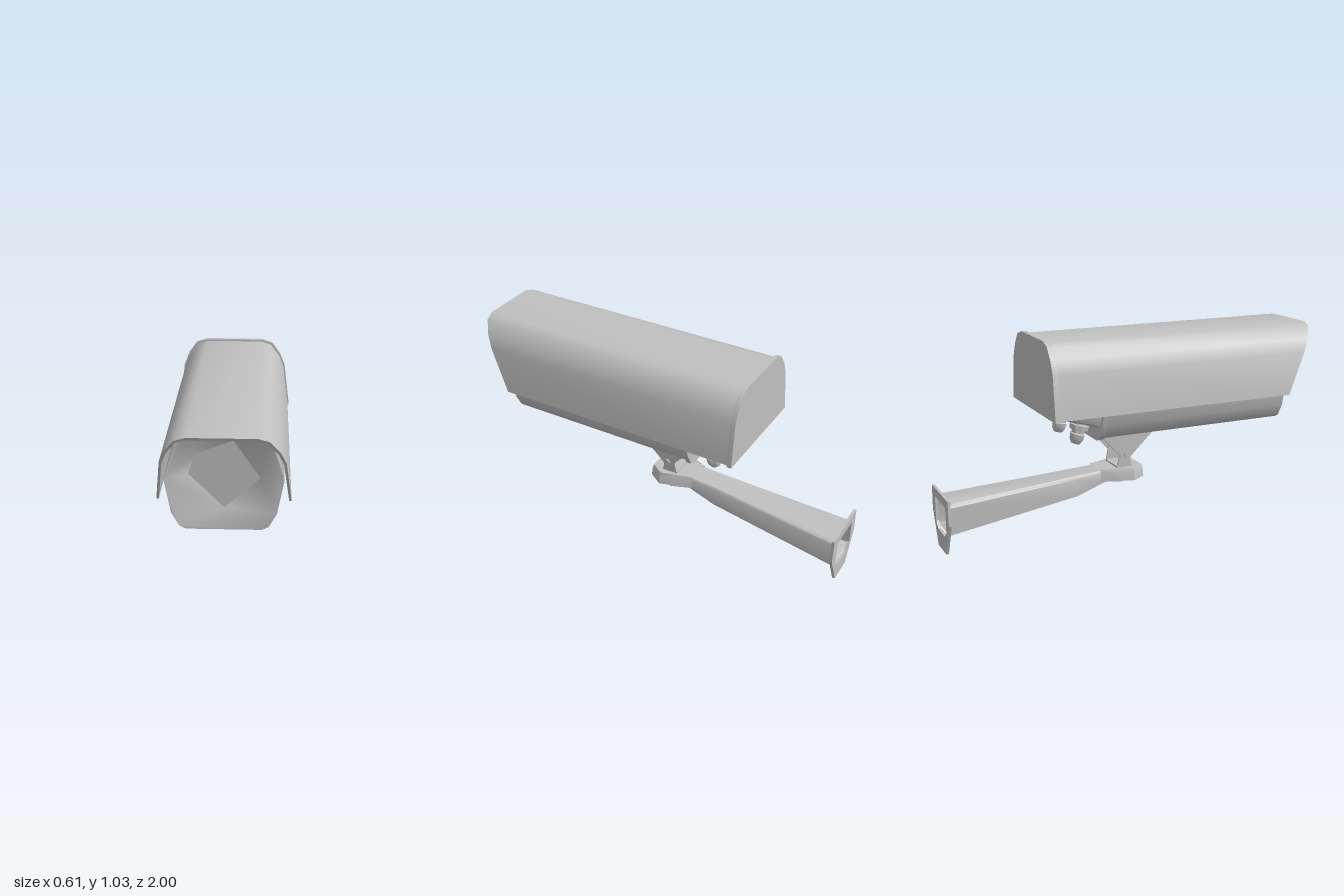
import * as THREE from 'three';
import { toCreasedNormals } from 'three/addons/utils/BufferGeometryUtils.js';

const grey = new THREE.MeshStandardMaterial({ color: 0xc0c0c0, side: THREE.DoubleSide });
grey.name = 'painted grey';

const vec = (pts) => pts.map(([x, y]) => new THREE.Vector2(x, y));

// Mirrors a right-hand half outline (bottom to top) into a closed anticlockwise outline.
const mirror = (half) => [...half, ...half.slice().reverse().map(([x, ...r]) => [-x, ...r])];

// Skins closed sections of [x, y, z] points, ordered by rising z.
function loft(sections, { back = true, front = true, crease = 0.8 } = {}) {
  const n = sections[0].length;
  const last = (sections.length - 1) * n;
  const index = [];
  for (let i = 0; i < last; i += n) {
    for (let j = 0; j < n; j++) {
      const a = i + j, b = i + (j + 1) % n;
      index.push(a, b, b + n, a, b + n, a + n);
    }
  }
  const cap = (s) => THREE.ShapeUtils.triangulateShape(vec(s), []);
  if (back) for (const [a, b, c] of cap(sections[0])) index.push(a, c, b);
  if (front) for (const t of cap(sections.at(-1))) index.push(...t.map((k) => k + last));
  const geo = new THREE.BufferGeometry();
  geo.setAttribute('position', new THREE.Float32BufferAttribute(sections.flat(2), 3));
  geo.setIndex(index);
  return toCreasedNormals(geo, crease);
}

const at = (outline, z) => outline.map(([x, y]) => [x, y, z]);

// Thin plate standing across x, outlined by [z, y] points.
function sidePlate(points, thickness) {
  const geo = new THREE.ExtrudeGeometry(new THREE.Shape(vec(points)), { depth: thickness, bevelEnabled: false });
  return geo.translate(0, 0, -thickness / 2).rotateY(-Math.PI / 2);
}

export function createModel() {
  const model = new THREE.Group();
  const add = (name, geo, parent = model) => {
    const mesh = new THREE.Mesh(geo, grey);
    mesh.name = name;
    parent.add(mesh);
    return mesh;
  };

  // Sun hood: thin arch, open below, its front edge raked back
  const outer = mirror([[0.298, 0.665], [0.27, 0.885], [0.245, 0.945], [0.2, 1.005], [0.15, 1.023]]);
  const inner = mirror([[0.287, 0.665], [0.259, 0.88], [0.235, 0.937], [0.194, 0.994], [0.148, 1.011]]);
  const arch = [...outer, ...inner.reverse()];
  const rake = (y) => Math.max(0.82, 1 - (1.023 - y) * 0.545);
  add('sunHood', loft([at(arch, -0.49), arch.map(([x, y]) => [x, y, rake(y)])]));

  // Rear cap of the hood
  const capOutline = mirror([[0.305, 0.66], [0.277, 0.89], [0.25, 0.955], [0.208, 1.014], [0.152, 1.032]]);
  add('rearCap', loft([at(capOutline, -0.505), at(capOutline, -0.48)]));

  // Camera housing
  const body = mirror([[0.17, 0.52], [0.2, 0.535], [0.235, 0.6], [0.265, 0.76], [0.2, 0.97], [0.15, 0.995]]);
  add('housing', loft([at(body, -0.22), at(body, 0.82)], { front: false }));

  // Front face, sunk from the rim towards the five-sided window
  const pane = [[0, 0.605], [0.16, 0.75], [0.04, 0.925], [-0.13, 0.86], [-0.16, 0.765]];
  const faceShape = new THREE.Shape(vec(body));
  faceShape.holes.push(new THREE.Path(vec(pane)));
  const face = new THREE.ShapeGeometry(faceShape);
  const p = face.attributes.position;
  for (let i = 0; i < p.count; i++) {
    const onPane = pane.some(([x, y]) => Math.hypot(p.getX(i) - x, p.getY(i) - y) < 0.001);
    p.setZ(i, onPane ? 0.77 : 0.82);
  }
  face.computeVertexNormals();
  add('frontFace', face);
  add('window', new THREE.ShapeGeometry(new THREE.Shape(vec(pane))).translate(0, 0, 0.77));

  // Rear flange and the sloping underside behind it
  const flange = mirror([[0.165, 0.51], [0.205, 0.525], [0.242, 0.6], [0.262, 0.7]]);
  add('rearFlange', loft([at(flange, -0.235), at(flange, -0.21)]));
  const tail = (b) => mirror([[0.14, b], [0.21, b + 0.02], [0.235, b + 0.08], [0.235, 0.8]]);
  add('rearUnderside', loft([at(tail(0.65), -0.485), at(tail(0.572), -0.23)]));

  // Cable glands
  const glandProfile = vec([[0, -0.105], [0.022, -0.105], [0.036, -0.085], [0.04, -0.055], [0.034, -0.05],
    [0.034, -0.035], [0.05, -0.032], [0.052, -0.008], [0.04, -0.004], [0.04, 0.03]]);
  for (const x of [-0.12, 0.12]) {
    const gland = add('cableGland', toCreasedNormals(new THREE.LatheGeometry(glandProfile, 8), 0.6));
    gland.position.set(x, 0.598, -0.305);
    gland.rotation.x = 0.25;
  }

  // Tilt bracket: upper and lower yokes joined by pivot bolts
  const bracket = new THREE.Group();
  bracket.name = 'tiltBracket';
  model.add(bracket);
  add('upperYokePlate', new THREE.BoxGeometry(0.18, 0.014, 0.31).translate(0, 0.513, -0.027), bracket);
  add('lowerYokePlate', new THREE.BoxGeometry(0.145, 0.01, 0.085).translate(0, 0.322, -0.037), bracket);
  const upperCheek = [[0.13, 0.515], [0.125, 0.503], [0.01, 0.395], [-0.01, 0.375], [-0.055, 0.375],
    [-0.075, 0.395], [-0.175, 0.503], [-0.18, 0.515]];
  const lowerCheek = [[0.0, 0.32], [-0.005, 0.41], [-0.02, 0.437], [-0.045, 0.437], [-0.06, 0.41], [-0.078, 0.32]];
  for (const s of [-1, 1]) {
    add('upperYokeCheek', sidePlate(upperCheek, 0.01).translate(s * 0.083, 0, 0), bracket);
    add('lowerYokeCheek', sidePlate(lowerCheek, 0.008).translate(s * 0.071, 0, 0), bracket);
    const bolt = new THREE.CylinderGeometry(0.015, 0.015, 0.038, 6).rotateZ(Math.PI / 2);
    add('pivotBolt', toCreasedNormals(bolt, 0.6).translate(s * 0.078, 0.39, -0.032), bracket);
  }

  // Arm head: flared pad under the bracket
  const pad = (k, y) => mirror([[0.07, 0.17], [0.11, 0.06]].map(([x, d]) => [x * k, d]))
    .concat([[-0.12, 0.0], [-0.07, -0.073], [0.07, -0.073], [0.12, 0.0]].map(([x, d]) => [x * k, d * k]))
    .map(([x, d]) => [x, d, y]);
  const head = [pad(1.02, 0.255), pad(0.97, 0.3), pad(0.9, 0.318)].map((s) => s.slice().reverse());
  // Outline is made anticlockwise before it is laid flat
  const padSections = head.map((s) => (THREE.ShapeUtils.area(vec(s)) < 0 ? s.slice().reverse() : s));
  add('armHead', loft(padSections).rotateX(-Math.PI / 2));

  // Hollow arm with a shallow groove beneath: z, half width, top, bottom, groove depth
  const armSections = [
    [-0.99, 0.108, 0.26, 0.1, 0.01],
    [-0.3, 0.072, 0.303, 0.19, 0.04],
    [-0.15, 0.07, 0.312, 0.243, 0.025],
    [0.0, 0.07, 0.316, 0.258, 0.005],
  ].map(([z, w, t, b, g]) => at(mirror([
    [0.45 * w, b + g], [0.62 * w, b], [0.95 * w, b + 0.005], [w, t - 0.015], [0.85 * w, t],
  ]), z));
  add('arm', loft(armSections, { back: false }));

  // Wall plate with an open centre
  const wallShape = new THREE.Shape(vec(mirror([[0.07, 0], [0.15, 0.17], [0.145, 0.295]])));
  wallShape.holes.push(new THREE.Path(vec(mirror([[0.06, 0.09], [0.095, 0.12], [0.095, 0.25]]))));
  add('wallPlate', new THREE.ExtrudeGeometry(wallShape, { depth: 0.014, bevelEnabled: false }).translate(0, 0, -1));

  return model;
}
